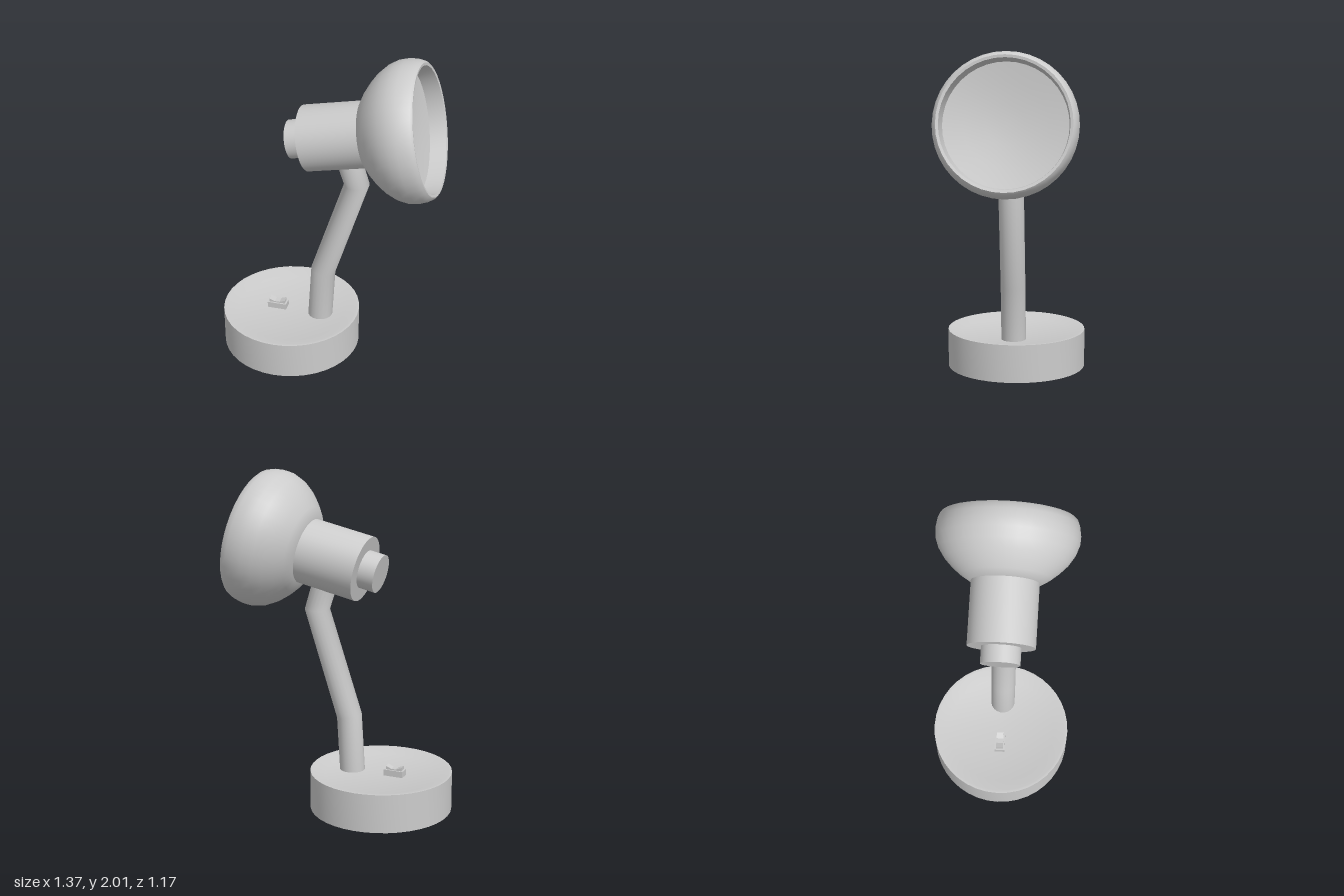
import * as THREE from 'three';
import { toCreasedNormals } from 'three/addons/utils/BufferGeometryUtils.js';

const grey = new THREE.MeshStandardMaterial({ color: 0xcccccc });

function part(name, geometry, parent) {
  const mesh = new THREE.Mesh(geometry, grey);
  mesh.name = name;
  parent.add(mesh);
  return mesh;
}

// Turned part from [radius, height] pairs, listed from the bottom outwards and up
function turned(profile, crease = 0.75) {
  const points = profile.map(([r, y]) => new THREE.Vector2(r, y));
  return toCreasedNormals(new THREE.LatheGeometry(points, 40), crease);
}

// Straight tube sections with sharp bends at the given points
function bentTube(points, radius) {
  const last = points.length - 1;
  const path = new THREE.Curve();
  path.getPointAt = (u) => points[Math.round(u * last)].clone();
  path.getTangentAt = (u) => {
    const i = Math.round(u * last);
    const tangent = new THREE.Vector3();
    if (i > 0) tangent.add(points[i].clone().sub(points[i - 1]).normalize());
    if (i < last) tangent.add(points[i + 1].clone().sub(points[i]).normalize());
    return tangent.normalize();
  };
  return new THREE.TubeGeometry(path, last, radius, 20);
}

export function createModel() {
  const lamp = new THREE.Group();
  lamp.name = 'deskLamp';
  const yaw = THREE.MathUtils.degToRad(27.3);
  const pitch = THREE.MathUtils.degToRad(12);

  // Round base with a shallow dished top
  const base = part('base', turned([
    [0, 0], [0.428, 0], [0.428, 0.235], [0.41, 0.235], [0.34, 0.212], [0, 0.212],
  ]), lamp);
  base.position.set(-0.258, 0, -0.158);

  // Bent arm
  part('arm', bentTube([
    new THREE.Vector3(-0.092, 0.19, -0.071),
    new THREE.Vector3(-0.072, 0.55, -0.058),
    new THREE.Vector3(0.115, 1.195, 0.032),
    new THREE.Vector3(0.052, 1.42, 0.01),
  ], 0.076), lamp);

  // Rocker switch: a low frame with a dipped key
  const rocker = new THREE.Group();
  rocker.name = 'switch';
  rocker.position.set(-0.337, 0.205, -0.2);
  rocker.rotation.y = -yaw;
  lamp.add(rocker);
  part('switchFrame', new THREE.BoxGeometry(0.12, 0.045, 0.064), rocker).position.y = 0.0225;
  const side = new THREE.Shape([
    [-0.05, 0.03], [0.05, 0.03], [0.05, 0.066], [0.015, 0.052], [-0.015, 0.052], [-0.05, 0.066],
  ].map(([x, y]) => new THREE.Vector2(x, y)));
  const key = new THREE.ExtrudeGeometry(side, { depth: 0.044, bevelEnabled: false });
  part('switchKey', key.translate(0, 0, -0.022), rocker);

  // Head: local +y points out of the shade, origin at the centre of its opening
  const head = new THREE.Group();
  head.name = 'head';
  head.position.set(0.495, 1.62, 0.23);
  head.quaternion.setFromUnitVectors(new THREE.Vector3(0, 1, 0), new THREE.Vector3(
    Math.cos(pitch) * Math.cos(yaw), Math.sin(pitch), Math.cos(pitch) * Math.sin(yaw)));
  lamp.add(head);

  part('rearKnob', turned([[0, -0.852], [0.115, -0.852], [0.115, -0.74]]), head);
  part('lampHousing', turned([[0, -0.752], [0.197, -0.752], [0.197, -0.36], [0, -0.36]]), head);
  // Rounded shade with a rolled rim and a shallow reflector inside
  part('shade', turned([
    [0.15, -0.378], [0.21, -0.378], [0.262, -0.345], [0.31, -0.305], [0.358, -0.255],
    [0.394, -0.2], [0.415, -0.14], [0.418, -0.09], [0.41, -0.04], [0.398, -0.008],
    [0.386, 0.003], [0.37, 0], [0.36, -0.1], [0.25, -0.12], [0.12, -0.135], [0, -0.14],
  ]), head);

  return lamp;
}
